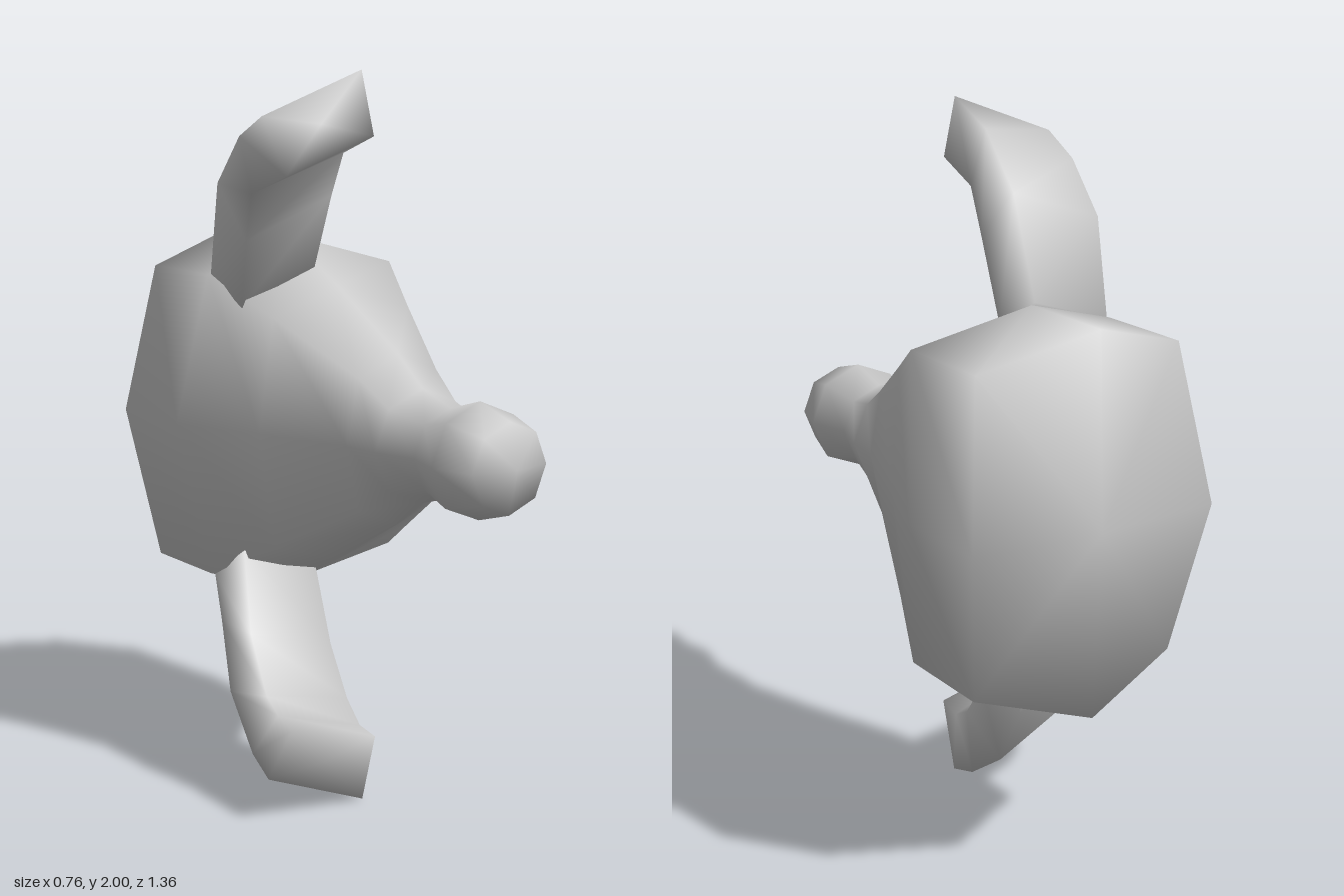
import * as THREE from 'three';

const material = new THREE.MeshStandardMaterial({ color: 0xcccccc, side: THREE.DoubleSide });

// Skin a list of equal-length rings; both ends close on a point.
function loft(name, rings, start, end, flip = false) {
  const n = rings[0].length;
  const points = [...rings.flat(), start, end];
  const index = [];
  const tri = (a, b, c) => (flip ? index.push(a, c, b) : index.push(a, b, c));
  const last = (rings.length - 1) * n;
  for (let i = 0; i < n; i++) {
    const j = (i + 1) % n;
    for (let r = 0; r < last; r += n) {
      tri(r + i, r + j, r + n + j);
      tri(r + i, r + n + j, r + n + i);
    }
    tri(points.length - 2, j, i);
    tri(points.length - 1, last + i, last + j);
  }
  const geometry = new THREE.BufferGeometry();
  geometry.setAttribute('position', new THREE.Float32BufferAttribute(points.flat(), 3));
  geometry.setIndex(index);
  geometry.computeVertexNormals();
  const mesh = new THREE.Mesh(geometry, material);
  mesh.name = name;
  return mesh;
}

// Eight-sided ring: axis points at z with radii rx, ry; corners at zc, offset cx, cy.
function octagon([z, zc, rx, ry, cx, cy]) {
  return Array.from({ length: 8 }, (_, i) => {
    const a = (i * Math.PI) / 4;
    const c = Math.cos(a), s = Math.sin(a);
    return i % 2
      ? [0.01 + Math.sign(c) * cx, 1.02 + Math.sign(s) * cy, zc]
      : [0.01 + Math.round(c) * rx, 1.02 + Math.round(s) * ry, z];
  });
}

const centre = (ring) => [0, 1, 2].map((k) => ring.reduce((sum, p) => sum + p[k], 0) / ring.length);

export function createModel() {
  const group = new THREE.Group();

  // Wide back, tapering to a neck and a round knob
  const body = [
    [-0.655, -0.57, 0.37, 0.515, 0.31, 0.425],
    [-0.36, -0.28, 0.37, 0.515, 0.31, 0.425],
    [-0.1, -0.08, 0.262, 0.39, 0.228, 0.32],
    [0.18, 0.18, 0.165, 0.235, 0.13, 0.18],
    [0.29, 0.29, 0.155, 0.155, 0.11, 0.11],
    [0.41, 0.41, 0.12, 0.12, 0.085, 0.085],
    [0.53, 0.53, 0.155, 0.155, 0.11, 0.11],
    [0.65, 0.65, 0.12, 0.12, 0.085, 0.085],
  ].map(octagon);
  group.add(loft('bodyAndKnob', body, [0.01, 1.02, -0.68], [0.01, 1.02, 0.68]));

  // Hooked arms: each ring is inner right, inner left, outer left, outer right of the bend
  const upper = [
    [[-0.26, 1.36, -0.17], [0, 1.45, -0.2], [0, 1.54, -0.36], [-0.29, 1.445, -0.28]],
    [[-0.3, 1.55, -0.08], [-0.01, 1.66, -0.1], [-0.02, 1.8, -0.23], [-0.32, 1.7, -0.19]],
    [[-0.32, 1.68, -0.02], [-0.04, 1.78, 0], [-0.04, 1.94, -0.07], [-0.35, 1.83, -0.03]],
    [[-0.34, 1.735, 0.175], [-0.07, 1.83, 0.18], [-0.07, 2, 0.125], [-0.38, 1.885, 0.125]],
  ];
  const lower = [
    [[-0.26, 0.68, -0.17], [0, 0.59, -0.2], [0, 0.51, -0.36], [-0.29, 0.595, -0.28]],
    [[-0.31, 0.47, -0.06], [-0.01, 0.38, -0.11], [-0.01, 0.37, -0.3], [-0.3, 0.47, -0.23]],
    [[-0.32, 0.32, 0.03], [-0.03, 0.25, 0], [-0.02, 0.18, -0.19], [-0.33, 0.29, -0.14]],
    [[-0.335, 0.29, 0.11], [-0.05, 0.2, 0.09], [-0.05, 0.05, 0], [-0.36, 0.16, 0.02]],
    [[-0.34, 0.27, 0.185], [-0.07, 0.2, 0.19], [-0.07, 0, 0.13], [-0.38, 0.125, 0.13]],
  ];
  group.add(loft('upperArm', upper, centre(upper[0]), centre(upper.at(-1))));
  group.add(loft('lowerArm', lower, centre(lower[0]), centre(lower.at(-1)), true));

  return group;
}
